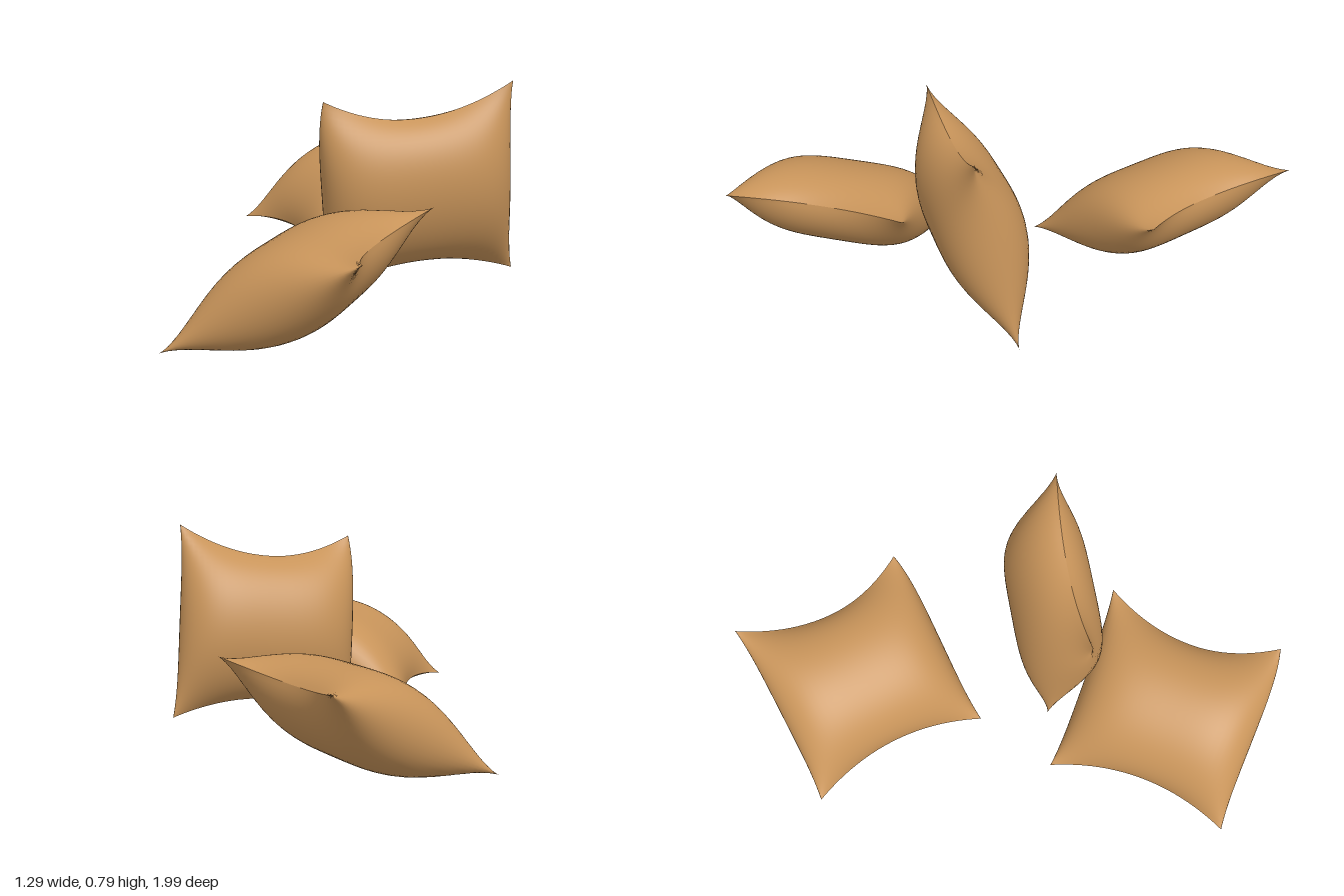
import * as THREE from 'three';

const ROWS = 36, RING = 64;
const HALF_HEIGHT = 0.369, HALF_THICK = 0.155;

// One stuffed pillow: rings swept along y, blunt sides, pinched and scooped ends
function pillowGeometry() {
  const pos = [], idx = [];
  for (let i = 0; i <= ROWS; i++) {
    const v = -1 + (2 * i) / ROWS;
    const v4 = v ** 4;
    const scoop = v > 0 ? 0.1 : 0.08;
    for (let j = 0; j < RING; j++) {
      const a = (j / RING) * Math.PI * 2;
      const u = Math.cos(a);
      // the right side narrows a little towards the top
      const halfWidth = 0.342 + 0.013 * v4 - (u > 0 && v > 0 ? 0.038 * v4 : 0);
      const puff = Math.sqrt(Math.max(0, 1 - u ** 4)) * Math.sign(Math.sin(a));
      pos.push(
        u * halfWidth,
        v * (HALF_HEIGHT - scoop * (1 - u * u) * v * v),
        HALF_THICK * (1 - v * v) * puff
      );
    }
  }
  for (let i = 0; i < ROWS; i++) {
    for (let j = 0; j < RING; j++) {
      const k = (j + 1) % RING;
      const a = i * RING + j, b = i * RING + k;
      idx.push(a, a + RING, b, b, a + RING, b + RING);
    }
  }
  const g = new THREE.BufferGeometry();
  g.setAttribute('position', new THREE.Float32BufferAttribute(pos, 3));
  g.setIndex(idx);
  g.computeVertexNormals();
  return g;
}

export function createModel() {
  const group = new THREE.Group();
  group.name = 'pillows';
  const geometry = pillowGeometry();
  const material = new THREE.MeshStandardMaterial({ color: 0xc8945a, side: THREE.DoubleSide });

  // name, centre, width direction, height direction
  const pillows = [
    ['frontPillow', [0.125, 0.222, 0.635], [0, 0, 1], [0.88, 0.474, 0]],
    ['uprightPillow', [0.322, 0.399, 0.074], [-0.849, -0.086, 0.522], [0.03, 0.98, 0.18]],
    ['backPillow', [-0.18, 0.222, -0.526], [0.76, 0, 0.65], [0.572, 0.474, -0.669]],
  ];
  for (const [name, centre, width, height] of pillows) {
    const x = new THREE.Vector3(...width).normalize();
    const z = x.clone().cross(new THREE.Vector3(...height)).normalize();
    const y = z.clone().cross(x);
    const mesh = new THREE.Mesh(geometry, material);
    mesh.name = name;
    mesh.quaternion.setFromRotationMatrix(new THREE.Matrix4().makeBasis(x, y, z));
    mesh.position.set(...centre);
    group.add(mesh);
  }
  return group;
}
